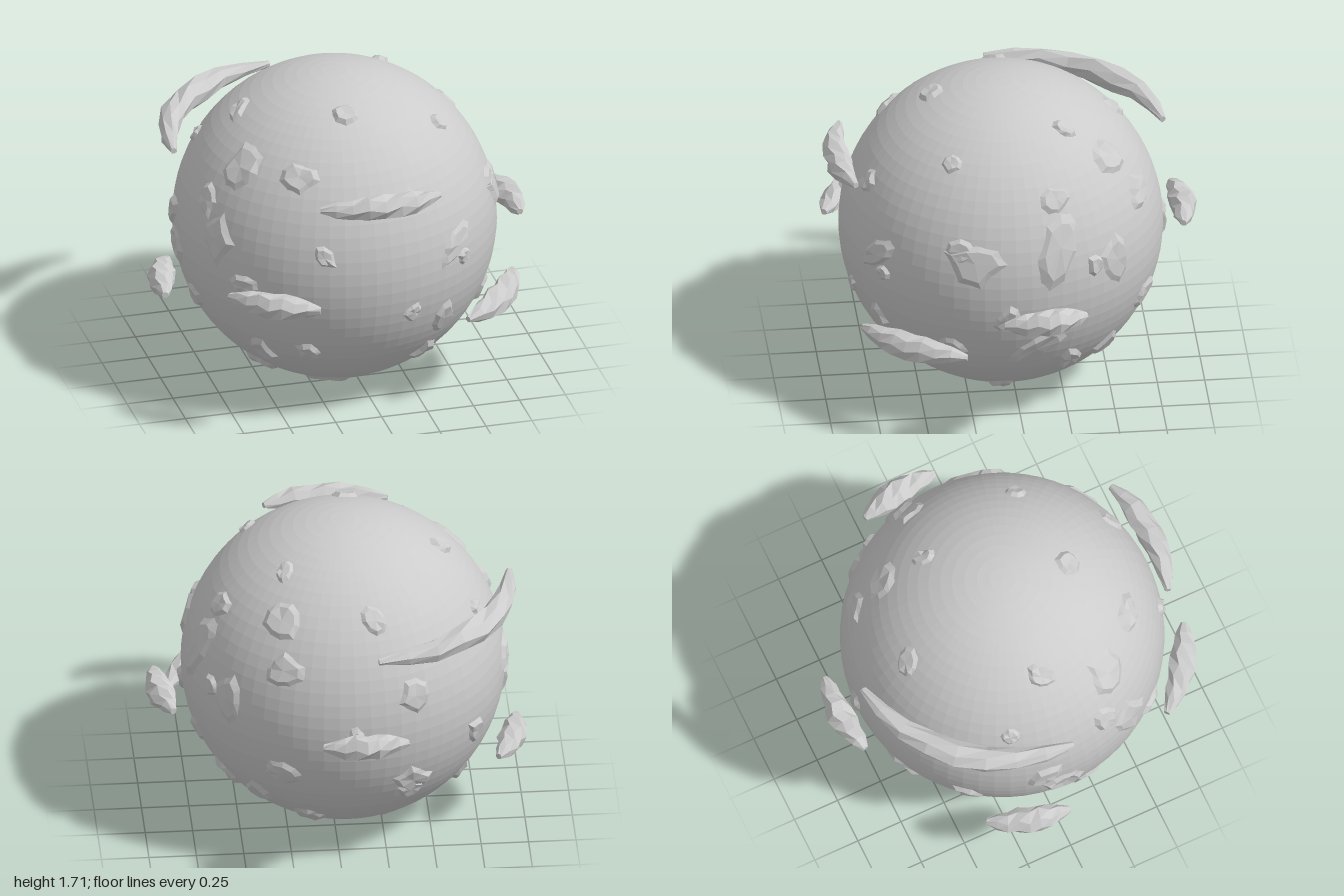
import * as THREE from 'three';

const R = 0.853;
const CENTER = new THREE.Vector3(-0.065, 0.855, 0.045);
const UP = new THREE.Vector3(0, 1, 0);
const rad = THREE.MathUtils.degToRad;

// Small seeded noise in the range -1..1
let seed = 7;
const rnd = () => {
  seed = (seed * 16807) % 2147483647;
  return (seed / 2147483647) * 2 - 1;
};

const mat = new THREE.MeshStandardMaterial({ color: 0xcccccc, flatShading: true });

// Unit direction from azimuth (0 = front, 90 = model's left) and latitude
const direction = (az, lat) =>
  new THREE.Vector3().setFromSphericalCoords(1, rad(90 - lat), rad(az));

function facets(name, points, index) {
  const geo = new THREE.BufferGeometry().setFromPoints(points);
  geo.setIndex(index);
  geo.computeVertexNormals();
  const mesh = new THREE.Mesh(geo, mat);
  mesh.name = name;
  return mesh;
}

// Low irregular plateau: sunken rim, raised inner ring, middle point
function landPatch({ az, lat, a, b, rot = 0, dip = 0 }) {
  const n = direction(az, lat);
  const east = UP.clone().cross(n).normalize();
  const north = n.clone().cross(east);
  const t = east.clone().multiplyScalar(Math.cos(rot)).addScaledVector(north, Math.sin(rot));
  const s = n.clone().cross(t);
  const N = 9, points = [], index = [];
  const put = (x, y, height) => points.push(n.clone().addScaledVector(t, x).addScaledVector(s, y)
    .normalize().multiplyScalar(height * R).add(CENTER));
  const wobble = Array.from({ length: N }, () => 1 + 0.24 * rnd());
  for (const [scale, height, rough] of [[1.08, 0.99, 0], [0.66, 1.02, 0.008]]) {
    wobble.forEach((k, i) => {
      const ang = (i / N) * Math.PI * 2;
      put(a * k * scale * Math.cos(ang), b * k * scale * Math.sin(ang), height + rough * rnd());
    });
  }
  put(0, 0, 1.018 - dip);
  for (let i = 0; i < N; i++) {
    const j = (i + 1) % N;
    index.push(i, j, N + j, i, N + j, N + i, N + i, N + j, 2 * N);
  }
  return facets('landPatch', points, index);
}

// Tapering faceted cloud bent along an arc around the globe's axis
function cloud({ az, half, r, y }) {
  const L = 8, N = 7, points = [], index = [];
  for (let i = 0; i <= L; i++) {
    const out = direction(az + half * ((2 * i) / L - 1), 0);
    const size = 0.07 * (0.25 + 0.75 * Math.pow(Math.sin((i / L) * Math.PI), 0.8));
    for (let j = 0; j < N; j++) {
      const ang = (j / N) * Math.PI * 2 + 0.3 * (i % 2);
      const q = size * (1 + 0.14 * rnd());
      points.push(out.clone().multiplyScalar(r + q * Math.cos(ang))
        .add(new THREE.Vector3(CENTER.x, y + q * Math.sin(ang), CENTER.z)));
    }
  }
  for (let i = 0; i < L; i++) {
    for (let j = 0; j < N; j++) {
      const a = i * N + j, b = i * N + ((j + 1) % N);
      index.push(a, b + N, b, a, a + N, b + N);
    }
  }
  // End caps
  const last = L * N;
  for (let j = 1; j < N - 1; j++) index.push(0, j, j + 1, last, last + j + 1, last + j);
  return facets('cloud', points, index);
}

// Main land masses; a and b are half sizes in radians
const LAND = [
  { az: -48, lat: -35, a: 0.08, b: 0.13, rot: 0.3 },
  { az: 34, lat: 7, a: 0.18, b: 0.08, rot: 0.6 },
  { az: 31, lat: -22, a: 0.09, b: 0.15 },
  { az: -63, lat: 10, a: 0.14, b: 0.17 },
  { az: -21, lat: -67, a: 0.14, b: 0.13, dip: 0.03 },
  { az: 75, lat: 14, a: 0.2, b: 0.15 },
  { az: 107, lat: 18, a: 0.11, b: 0.28, rot: -0.4 },
  { az: 130, lat: 7, a: 0.13, b: 0.18 },
  { az: 98, lat: -23, a: 0.22, b: 0.1, rot: 0.6 },
  { az: 135, lat: -36, a: 0.1, b: 0.13, rot: -0.5 },
  { az: 146, lat: 41, a: 0.12, b: 0.12 },
  { az: -61, lat: 37, a: 0.14, b: 0.17 },
  { az: 266, lat: -5, a: 0.14, b: 0.14, dip: 0.04 },
  { az: 203, lat: -22, a: 0.15, b: 0.1, rot: -0.5 },
];

const CLOUDS = [
  { az: 2, half: 22, r: 0.875, y: 1.315 },
  { az: -35, half: 15.5, r: 0.955, y: 0.77 },
  { az: 53.5, half: 20, r: 0.935, y: 0.55 },
  { az: 98.5, half: 13, r: 0.99, y: 0.785 },
  { az: 183, half: 13.5, r: 0.963, y: 0.88 },
  { az: 229, half: 41, r: 0.875, y: 1.345 },
  { az: 253.5, half: 14, r: 0.91, y: 0.485 },
];

export function createModel() {
  const model = new THREE.Group();
  model.name = 'planet';

  // Ocean sphere
  const globe = new THREE.Mesh(new THREE.SphereGeometry(R, 64, 40), mat);
  globe.name = 'globe';
  globe.position.copy(CENTER);
  model.add(globe);

  // Main land, then small islands spread evenly in a spiral from pole to pole
  const land = new THREE.Group();
  land.name = 'land';
  for (const patch of LAND) land.add(landPatch(patch));
  const islands = 34;
  for (let i = 0; i < islands; i++) {
    const lat = THREE.MathUtils.radToDeg(Math.asin(0.93 - (1.86 * (i + 0.5)) / islands));
    land.add(landPatch({
      az: i * 137.5 + 8 * rnd(), lat,
      a: 0.1 + 0.04 * rnd(), b: 0.08 + 0.03 * rnd(), rot: 1.5 * rnd(),
    }));
  }
  model.add(land);

  // Floating clouds
  const clouds = new THREE.Group();
  clouds.name = 'clouds';
  for (const c of CLOUDS) clouds.add(cloud(c));
  model.add(clouds);
  return model;
}
